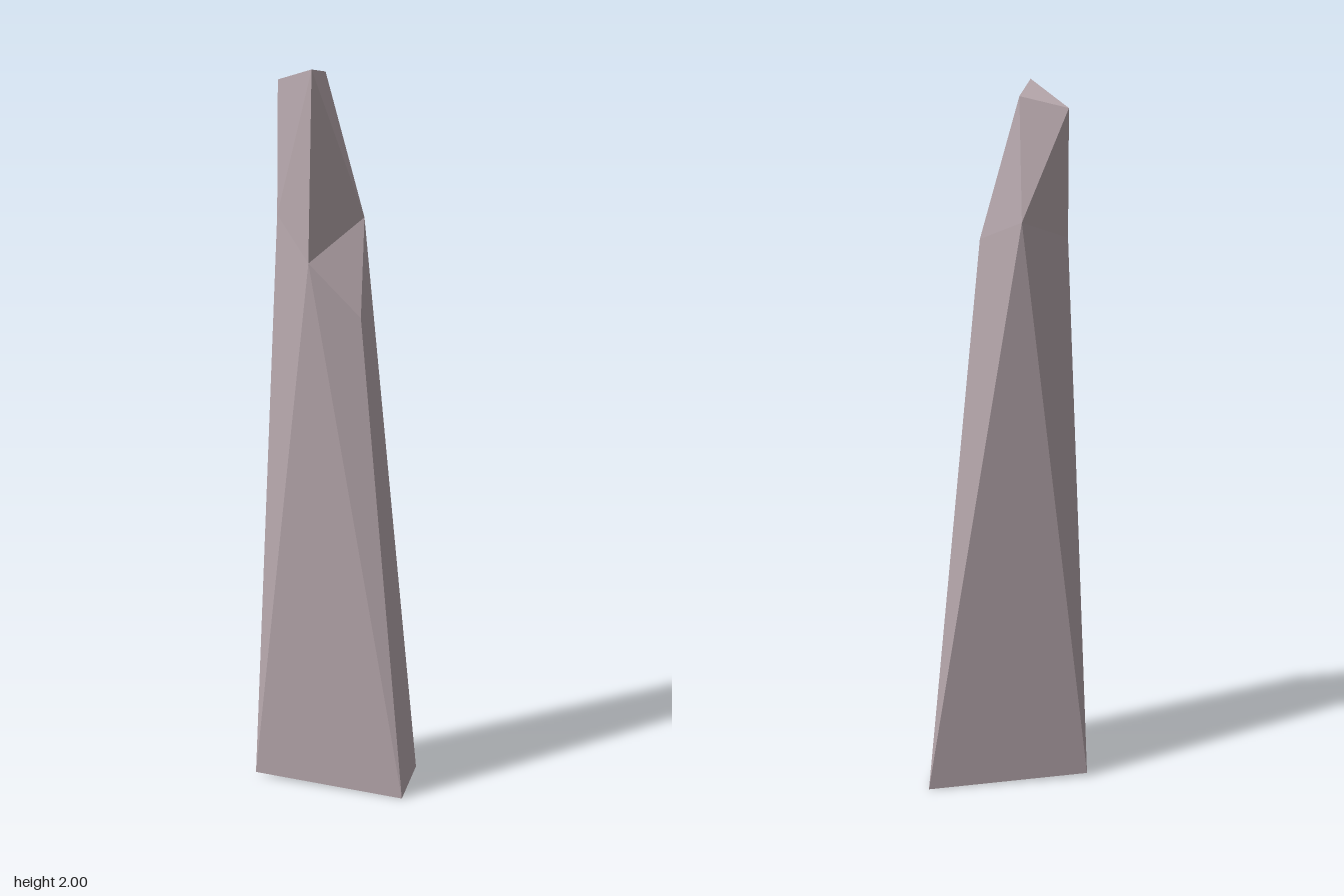
import * as THREE from 'three';

export function createModel() {
  const group = new THREE.Group();
  group.name = 'rockSpire';

  // Corners of the shard
  const p = {
    // three-sided foot
    footLeft: [-0.22, 0.01, 0.103], footRight: [0.22, 0, 0.093], footBack: [0.172, 0, -0.135],
    // chipped shoulder ring
    chipFront: [-0.04, 1.49, 0.131], chipLow: [0.092, 1.345, 0.087], chipRight: [0.056, 1.595, -0.022],
    ridgeBack: [-0.075, 1.66, -0.055], ridgeLeft: [-0.163, 1.6, 0.058],
    // tip
    tipFront: [-0.028, 2, 0.133], tipLeft: [-0.175, 1.955, 0.022], tipBack: [-0.045, 1.98, 0.004],
  };

  const faces = [
    // front
    'footLeft footRight chipFront', 'footRight chipLow chipFront', 'footLeft chipFront ridgeLeft',
    'chipFront tipFront ridgeLeft', 'tipFront tipLeft ridgeLeft',
    // broken notch and tip
    'chipFront chipLow chipRight', 'tipFront chipFront chipRight',
    'tipFront chipRight tipBack', 'tipFront tipBack tipLeft',
    // right side
    'footRight footBack chipRight', 'footRight chipRight chipLow',
    // back
    'footBack footLeft ridgeBack', 'footBack ridgeBack chipRight', 'footLeft ridgeLeft ridgeBack',
    'ridgeBack ridgeLeft tipLeft', 'ridgeBack tipLeft tipBack', 'ridgeBack tipBack chipRight',
    // underside
    'footLeft footBack footRight',
  ];

  const positions = faces.flatMap((f) => f.split(' ').flatMap((name) => p[name]));
  const geometry = new THREE.BufferGeometry();
  geometry.setAttribute('position', new THREE.Float32BufferAttribute(positions, 3));
  geometry.computeVertexNormals();

  const stone = new THREE.MeshStandardMaterial({ color: 0xb8a9ae, flatShading: true });
  const shard = new THREE.Mesh(geometry, stone);
  shard.name = 'stoneShard';
  group.add(shard);
  return group;
}
